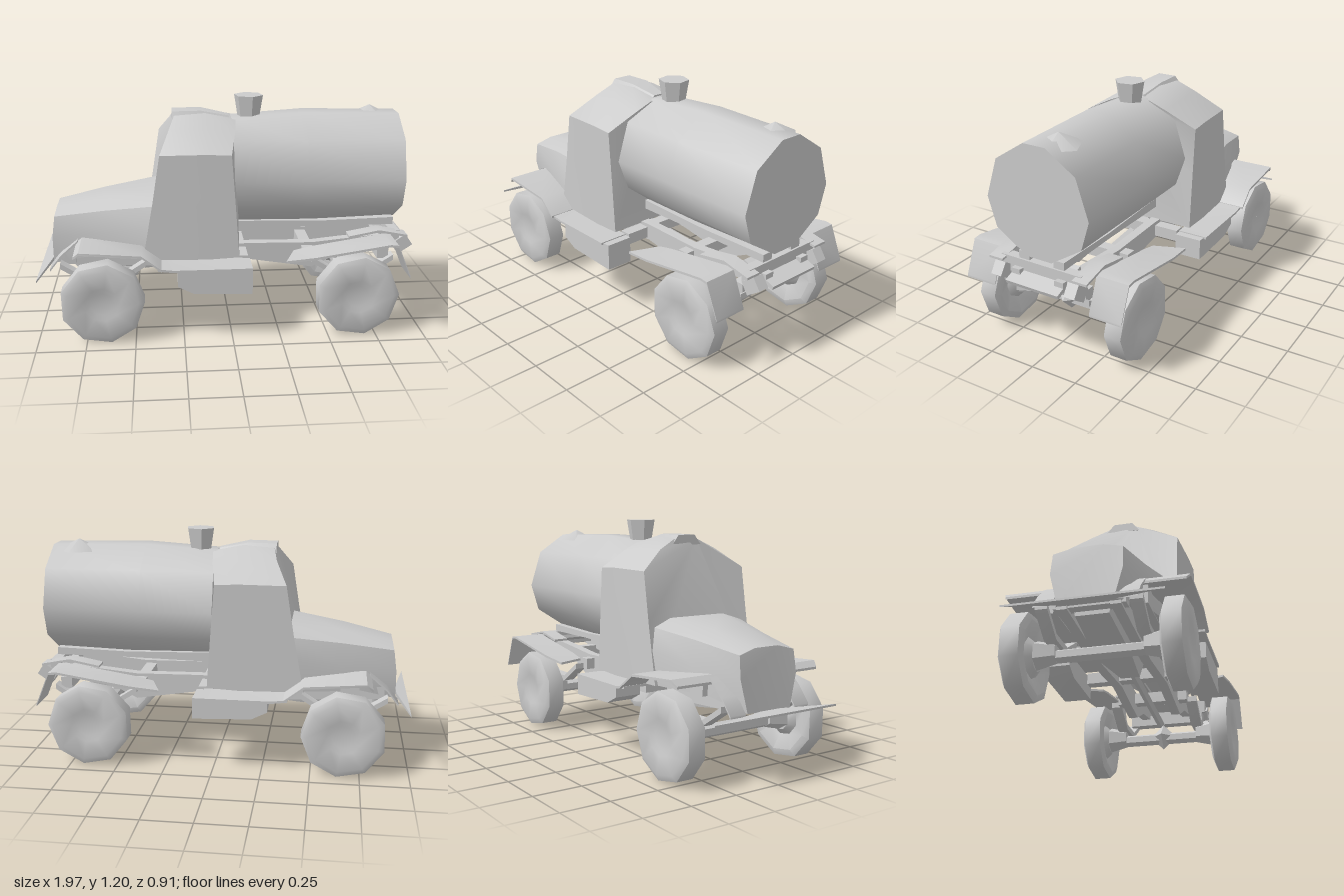
import * as THREE from 'three';
import { toCreasedNormals } from 'three/addons/utils/BufferGeometryUtils.js';

const material = new THREE.MeshStandardMaterial({ color: 0xcccccc, side: THREE.DoubleSide });

export function createModel() {
  const truck = new THREE.Group();

  function add(name, geometry, x = 0, y = 0, z = 0) {
    const mesh = new THREE.Mesh(toCreasedNormals(geometry, 0.75), material);
    mesh.name = name;
    mesh.position.set(x, y, z);
    truck.add(mesh);
    return mesh;
  }

  // Box given by its limits on each axis
  function box(name, x0, x1, y0, y1, z0, z1) {
    return add(name, new THREE.BoxGeometry(x1 - x0, y1 - y0, z1 - z0),
      (x0 + x1) / 2, (y0 + y1) / 2, (z0 + z1) / 2);
  }

  // Skin over rings running from -x to +x; each ring goes top, +z, bottom, -z
  function loft(rings) {
    const n = rings[0].length, index = [];
    rings.slice(1).forEach((_, s) => {
      for (let i = 0; i < n; i++) {
        const a = s * n + i, b = s * n + (i + 1) % n;
        index.push(a, b, b + n, a, b + n, a + n);
      }
    });
    const last = (rings.length - 1) * n;
    for (let i = 1; i < n - 1; i++) {
      index.push(0, i + 1, i, last, last + i, last + i + 1);
    }
    const geometry = new THREE.BufferGeometry();
    geometry.setAttribute('position', new THREE.Float32BufferAttribute(rings.flat(2), 3));
    geometry.setIndex(index);
    return geometry;
  }

  // Full ring from the +z half, listed from top to bottom
  const mirrorRing = half => [...half, ...half.map(([x, y, z]) => [x, y, -z]).reverse()];

  // Bent strip following [x, y, thickness] points, between two z values
  function strip(name, path, z0, z1) {
    return add(name, loft(path.map(([x, y, t = 0.012]) =>
      [[x, y, z0], [x, y, z1], [x, y - t, z1], [x, y - t, z0]])));
  }

  // Tank: many-sided barrel, slightly swollen along its top
  const tankEnd = [[1.09, 0.06], [1.0, 0.22], [0.8, 0.285], [0.65, 0.24], [0.53, 0.07]];
  const tankRing = (x, rise, drop) => mirrorRing(tankEnd.map(([y, z]) =>
    [x, y > 1.05 ? y + rise : y < 0.6 ? y + drop : y, z]));
  add('tank', loft([tankRing(0.02, 0, -0.01), tankRing(0.4, 0.025, -0.01), tankRing(0.905, 0.015, 0.01)]));

  // Filler hatch, wider at its top, and a shallow lump near the tank's rear
  const hatch = add('tankHatch', new THREE.CylinderGeometry(0.078, 0.06, 0.11, 6), 0.115, 1.147, -0.01);
  hatch.rotation.y = 0.2;
  const lump = add('tankRearCap', new THREE.ConeGeometry(0.12, 0.06, 5), 0.77, 1.105, -0.04);
  lump.rotation.y = 0.4;

  // Cab: sloping windscreen and chamfered roof
  add('cab', loft([
    mirrorRing([[-0.28, 1.11, 0.07], [-0.3, 1.06, 0.17], [-0.36, 0.96, 0.31], [-0.4, 0.71, 0.31], [-0.455, 0.41, 0.31]]),
    mirrorRing([[-0.12, 1.12, 0.07], [-0.12, 1.06, 0.18], [-0.12, 0.965, 0.325], [-0.12, 0.7, 0.325], [-0.12, 0.41, 0.325]]),
    mirrorRing([[0.04, 1.085, 0.08], [0.03, 1.045, 0.17], [0.0, 0.96, 0.33], [0.02, 0.7, 0.33], [0.04, 0.42, 0.33]]),
  ]));
  // Low roof vent, sloping down towards its rear
  add('roofVent', loft([
    mirrorRing([[-0.29, 1.13, 0.05], [-0.29, 1.08, 0.09]]),
    mirrorRing([[-0.14, 1.132, 0.05], [-0.14, 1.08, 0.08]]),
    mirrorRing([[0.01, 1.1, 0.03], [0.01, 1.07, 0.06]]),
  ]));

  // Hood: narrow at the nose, as wide as the cab at its back
  add('hood', loft([
    mirrorRing([[-0.905, 0.635, 0.07], [-0.91, 0.61, 0.165], [-0.925, 0.5, 0.17], [-0.93, 0.34, 0.13]]),
    mirrorRing([[-0.65, 0.69, 0.1], [-0.65, 0.65, 0.21], [-0.65, 0.54, 0.24], [-0.75, 0.4, 0.21]]),
    mirrorRing([[-0.37, 0.725, 0.17], [-0.38, 0.69, 0.28], [-0.4, 0.58, 0.31], [-0.43, 0.41, 0.3]]),
  ]));

  // Engine block and gearbox, tapering towards the rear
  add('engineAndGearbox', loft([
    mirrorRing([[-0.82, 0.42, 0.1], [-0.82, 0.33, 0.08]]),
    mirrorRing([[-0.45, 0.42, 0.13], [-0.45, 0.28, 0.09]]),
    mirrorRing([[-0.12, 0.4, 0.08], [-0.12, 0.3, 0.05]]),
  ]));

  // Bumper: thin flat blade with pointed ends
  add('bumper', loft([
    mirrorRing([[-0.995, 0.335, 0.37], [-0.995, 0.325, 0.37]]),
    mirrorRing([[-0.94, 0.345, 0.06], [-0.94, 0.325, 0.06]]),
  ]));

  // Wheel: rounded tyre, shallow dish outside, hollow around the hub inside
  const wheelProfile = [[0.001, -0.06], [0.07, -0.06], [0.1, -0.03], [0.18, -0.06], [0.216, -0.045],
    [0.216, 0.045], [0.185, 0.06], [0.09, 0.055], [0.06, 0.045], [0.001, 0.045]]
    .map(([r, h]) => new THREE.Vector2(r, h));

  for (const side of [1, -1]) {
    const span = (a, b) => side > 0 ? [a, b] : [-b, -a];

    for (const [name, x] of [['frontWheel', -0.665], ['rearWheel', 0.65]]) {
      const wheel = add(name, new THREE.LatheGeometry(wheelProfile, 9), x, 0.217, side * 0.37);
      wheel.rotation.set(side * Math.PI / 2, 0.2, 0);
      const drum = add('brakeDrum', new THREE.CylinderGeometry(0.075, 0.05, 0.1, 6), x, 0.225, side * 0.26);
      drum.rotation.x = side * Math.PI / 2;
    }

    // Front fender, widening towards the cab, with a narrow brace to the nose
    add('frontFender', loft([[-0.8, 0.48, 0.43], [-0.77, 0.508, 0.445], [-0.46, 0.485, 0.45], [-0.36, 0.41, 0.455]]
      .map(([x, y, z]) => [[x, y, 0.21], [x, y, z], [x, y - 0.012, z], [x, y - 0.012, 0.21]])))
      .scale.z = side;
    strip('noseBrace', [[-0.94, 0.345], [-0.88, 0.42], [-0.79, 0.5]], ...span(0.15, 0.24));
    box('fenderApron', -0.74, -0.42, 0.4, 0.5, ...span(0.2, 0.24));

    // Rear fender, its front edge cut at an angle
    add('rearFender', loft([[0.27, 0.43, 0.43], [0.42, 0.45, 0.445], [0.8, 0.51, 0.45], [0.84, 0.505, 0.45], [0.91, 0.335, 0.45]]
      .map(([x, y, z], i) => [[i ? x : 0.33, y, 0.275], [x, y, z], [x, y - 0.012, z], [i ? x : 0.33, y - 0.012, 0.275]])))
      .scale.z = side;

    // Running board with a storage box below it, the left one deeper
    strip('runningBoard', [[-0.38, 0.41], [-0.3, 0.4], [0.06, 0.4]], ...span(0.28, 0.44));
    const depth = side > 0 ? 0.14 : 0.11;
    strip('sideBox', [[-0.28, 0.395, depth - 0.05], [-0.2, 0.395, depth - 0.01], [0.1, 0.395, depth]],
      ...span(0.28, 0.425));

    // Chassis rail, deepest ahead of the rear axle, with the tank cradle above
    strip('chassisRail', [[-0.88, 0.4, 0.06], [-0.3, 0.41, 0.1], [0.1, 0.43, 0.09],
      [0.45, 0.425, 0.14], [0.6, 0.44, 0.08], [0.93, 0.47, 0.06]], ...span(0.1, 0.15));
    strip('tankCradle', [[0.05, 0.55, 0.05], [0.5, 0.54, 0.03], [0.89, 0.55, 0.04]], ...span(0.07, 0.13));

    // Leaf springs
    for (const x of [-0.665, 0.65]) {
      strip('leafSpring', [[x - 0.22, 0.38, 0.03], [x - 0.08, 0.29, 0.03], [x + 0.08, 0.29, 0.03],
        [x + 0.22, 0.38, 0.03]], ...span(0.19, 0.25));
    }

    // Rear lamp on a slanted bracket
    const lamp = box('rearLamp', 0.87, 0.96, 0.4, 0.47, ...span(0.18, 0.24));
    lamp.rotation.z = 0.6;
    strip('lampBracket', [[0.62, 0.5], [0.78, 0.53], [0.93, 0.5]], ...span(0.2, 0.28));
  }

  // Axles, differential and drive shaft
  for (const x of [-0.665, 0.65]) {
    const axle = add('axle', new THREE.CylinderGeometry(0.034, 0.034, 0.62, 6), x, 0.21, 0);
    axle.rotation.x = Math.PI / 2;
  }
  add('differential', new THREE.OctahedronGeometry(0.075, 0), 0.65, 0.22, 0.01);
  const shaft = add('driveShaft', new THREE.CylinderGeometry(0.022, 0.022, 0.74, 5), 0.25, 0.325, 0);
  shaft.rotation.z = Math.PI / 2 - 0.08;

  // Cross members between the rails
  for (const [x, reach] of [[-0.84, 0.17], [-0.3, 0.28], [0.06, 0.28], [0.42, 0.2], [0.82, 0.22]]) {
    box('crossMember', x - 0.03, x + 0.03, 0.35, 0.41, -reach, reach);
  }
  box('rearCrossBar', 0.85, 0.9, 0.43, 0.51, -0.23, 0.23);
  const tail = add('towPlate', new THREE.BoxGeometry(0.2, 0.02, 0.3), 0.88, 0.45, 0);
  tail.rotation.z = -0.35;

  return truck;
}
